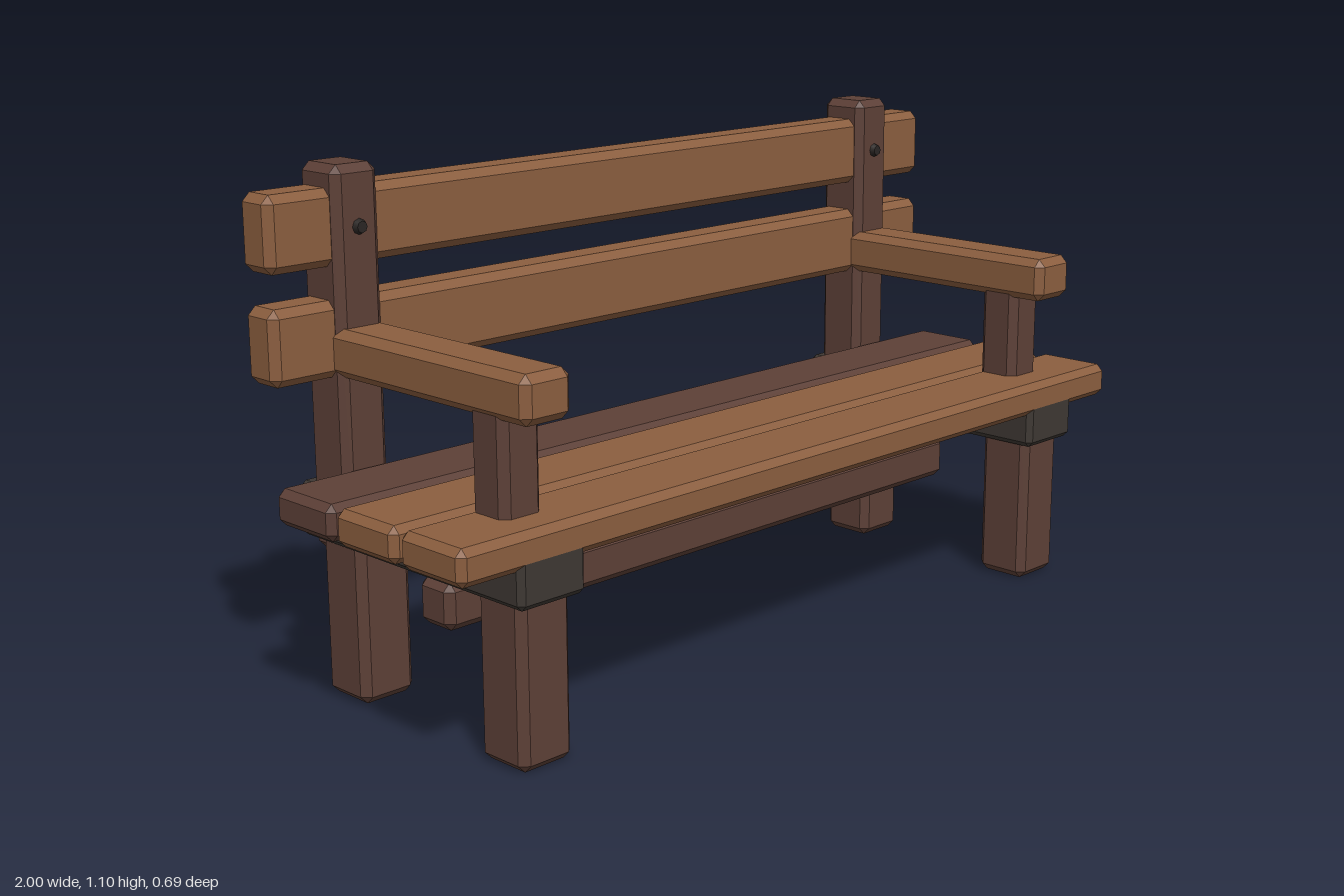
import * as THREE from 'three';
import { ConvexGeometry } from 'three/addons/geometries/ConvexGeometry.js';

const material = (name, color) => {
  const m = new THREE.MeshStandardMaterial({ color });
  m.name = name;
  return m;
};

// Box with bevelled edges: three corner points at each of the eight corners
function bevelBox(w, h, d, b) {
  const points = [];
  for (const x of [-1, 1]) for (const y of [-1, 1]) for (const z of [-1, 1]) {
    const [X, Y, Z] = [w / 2, h / 2, d / 2];
    points.push(
      new THREE.Vector3(x * X, y * (Y - b), z * (Z - b)),
      new THREE.Vector3(x * (X - b), y * Y, z * (Z - b)),
      new THREE.Vector3(x * (X - b), y * (Y - b), z * Z)
    );
  }
  return new ConvexGeometry(points);
}

export function createModel() {
  const bench = new THREE.Group();
  bench.name = 'bench';
  const lightWood = material('lightWood', 0x8b5e3f);
  const darkWood = material('darkWood', 0x5d4037);
  const iron = material('iron', 0x3e3833);
  const boltMetal = material('boltMetal', 0x2a2624);

  // Beam centred at x, given its y and z ranges
  const beam = (name, mat, x, width, [y0, y1], [z0, z1], bevel = 0.017) => {
    const mesh = new THREE.Mesh(bevelBox(width, y1 - y0, z1 - z0, bevel), mat);
    mesh.name = name;
    mesh.position.set(x, (y0 + y1) / 2, (z0 + z1) / 2);
    bench.add(mesh);
  };

  // Seat planks, front to back
  beam('frontSeatPlank', lightWood, 0, 2, [0.41, 0.485], [0.163, 0.343], 0.015);
  beam('middleSeatPlank', lightWood, 0, 2, [0.41, 0.485], [-0.031, 0.15], 0.015);
  beam('rearSeatPlank', darkWood, 0, 2, [0.41, 0.485], [-0.222, -0.041], 0.015);

  // Backrest slats and the stretcher under the seat
  beam('upperBackSlat', lightWood, 0, 1.96, [0.895, 1.05], [-0.326, -0.23]);
  beam('lowerBackSlat', lightWood, 0, 1.96, [0.673, 0.828], [-0.326, -0.23]);
  beam('stretcher', darkWood, 0, 1.56, [0.19, 0.29], [-0.07, 0.03]);

  // Side frames
  for (const [side, s] of [['left', 1], ['right', -1]]) {
    const x = s * 0.78;
    beam(side + 'FrontLeg', darkWood, x, 0.13, [0, 0.42], [0.19, 0.32]);
    beam(side + 'RearLeg', darkWood, x, 0.13, [0, 0.42], [-0.296, -0.166]);
    beam(side + 'SeatRail', iron, x, 0.165, [0.333, 0.448], [-0.343, 0.343], 0.012);
    beam(side + 'BackPost', darkWood, x, 0.11, [0.302, 1.095], [-0.333, -0.212]);
    beam(side + 'ArmSupport', darkWood, x, 0.1, [0.44, 0.71], [0.163, 0.263]);
    beam(side + 'Armrest', lightWood, x, 0.12, [0.675, 0.773], [-0.336, 0.34]);

    // Round bolt head on the front of the post
    const bolt = new THREE.Mesh(new THREE.CylinderGeometry(0.012, 0.02, 0.02, 8), boltMetal);
    bolt.geometry.rotateX(Math.PI / 2);
    bolt.name = side + 'Bolt';
    bolt.position.set(x, 0.972, -0.211);
    bench.add(bolt);
  }
  return bench;
}
